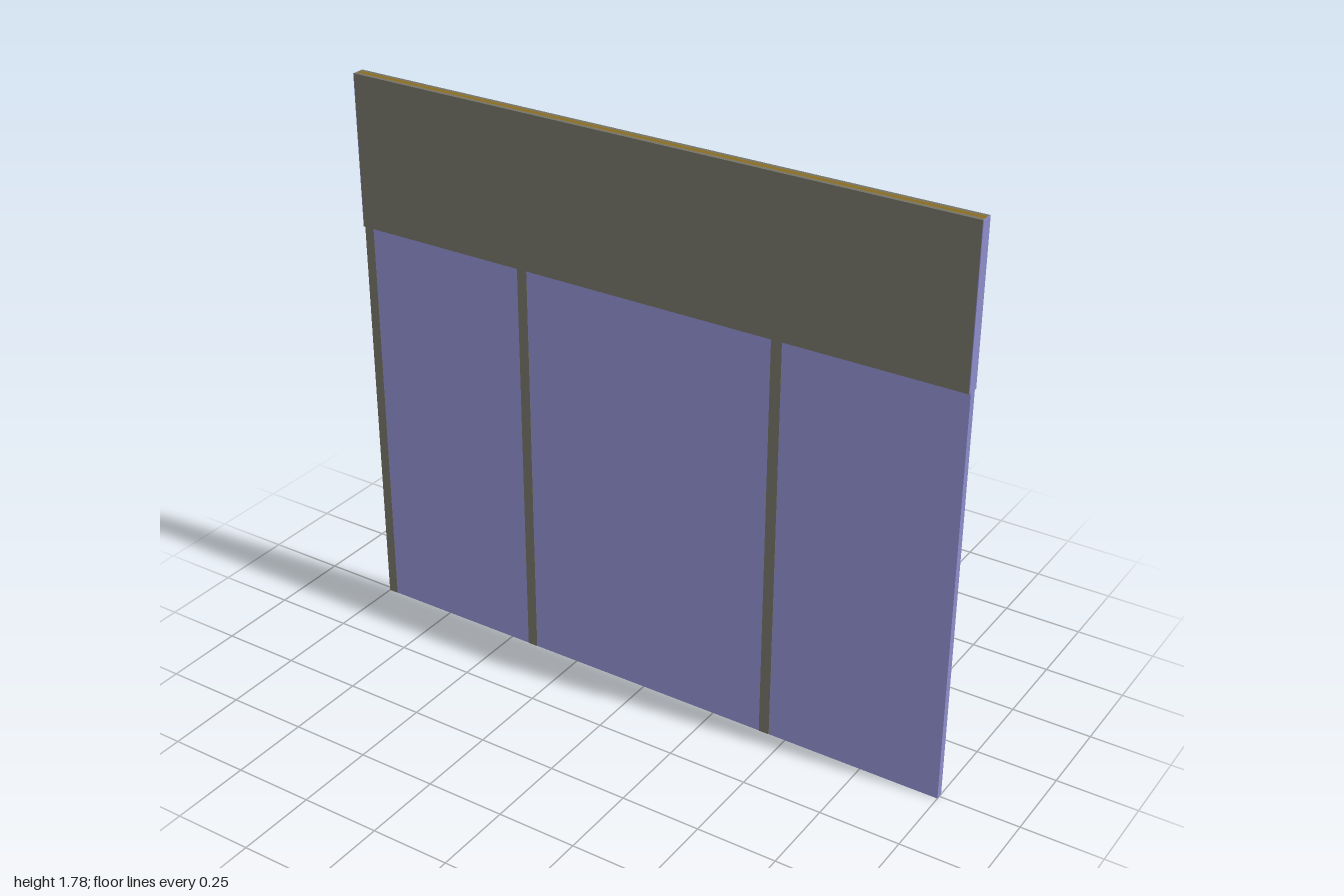
import * as THREE from 'three';

const paint = (name, color) => {
  const m = new THREE.MeshStandardMaterial({ color });
  m.name = name;
  return m;
};

export function createModel() {
  const lilac = paint('lilac', 0x8c8ccb);
  const stone = paint('stone grey', 0x747265);
  const ochre = paint('ochre', 0x8b6c20);

  const W = 2, H = 1.78, bandY = 1.3;
  const panelZ = 0.012, bandZ = 0.02, cap = 0.002, skin = 0.001;
  const group = new THREE.Group();
  group.name = 'panelWall';

  // Box given by its minimum and maximum corners
  const box = (name, mat, [x0, y0, z0], [x1, y1, z1]) => {
    const mesh = new THREE.Mesh(new THREE.BoxGeometry(x1 - x0, y1 - y0, z1 - z0), mat);
    mesh.position.set((x0 + x1) / 2, (y0 + y1) / 2, (z0 + z1) / 2);
    mesh.name = name;
    group.add(mesh);
  };
  const ex = W / 2 - cap;

  // Lower wall panel
  box('wallPanel', lilac, [-ex, 0, -panelZ], [ex, bandY, panelZ]);

  // Upper band: two facing boards around a core
  box('bandCore', ochre, [-ex, bandY, -0.008], [ex, H, 0.008]);
  box('bandFrontBoard', stone, [-ex, bandY, 0.008], [ex, H, bandZ]);
  box('bandBackBoard', stone, [-ex, bandY, -bandZ], [ex, H, -0.008]);

  // End edges
  for (const s of [-1, 1]) {
    const a = Math.min(s * ex, s), b = Math.max(s * ex, s);
    box('panelEndEdge', lilac, [a, 0, -panelZ], [b, bandY, panelZ]);
    box('bandEndEdge', lilac, [a, bandY, -bandZ], [b, H, bandZ]);
  }

  // Upright joint strips, grey in front and ochre behind
  for (const [x0, x1] of [[-1, -0.968], [-0.435, -0.402], [0.411, 0.445]]) {
    box('frontStrip', stone, [x0, 0, panelZ], [x1, bandY, panelZ + skin]);
    box('backStrip', ochre, [x0, 0, -panelZ - skin], [x1, bandY, -panelZ]);
  }
  return group;
}
